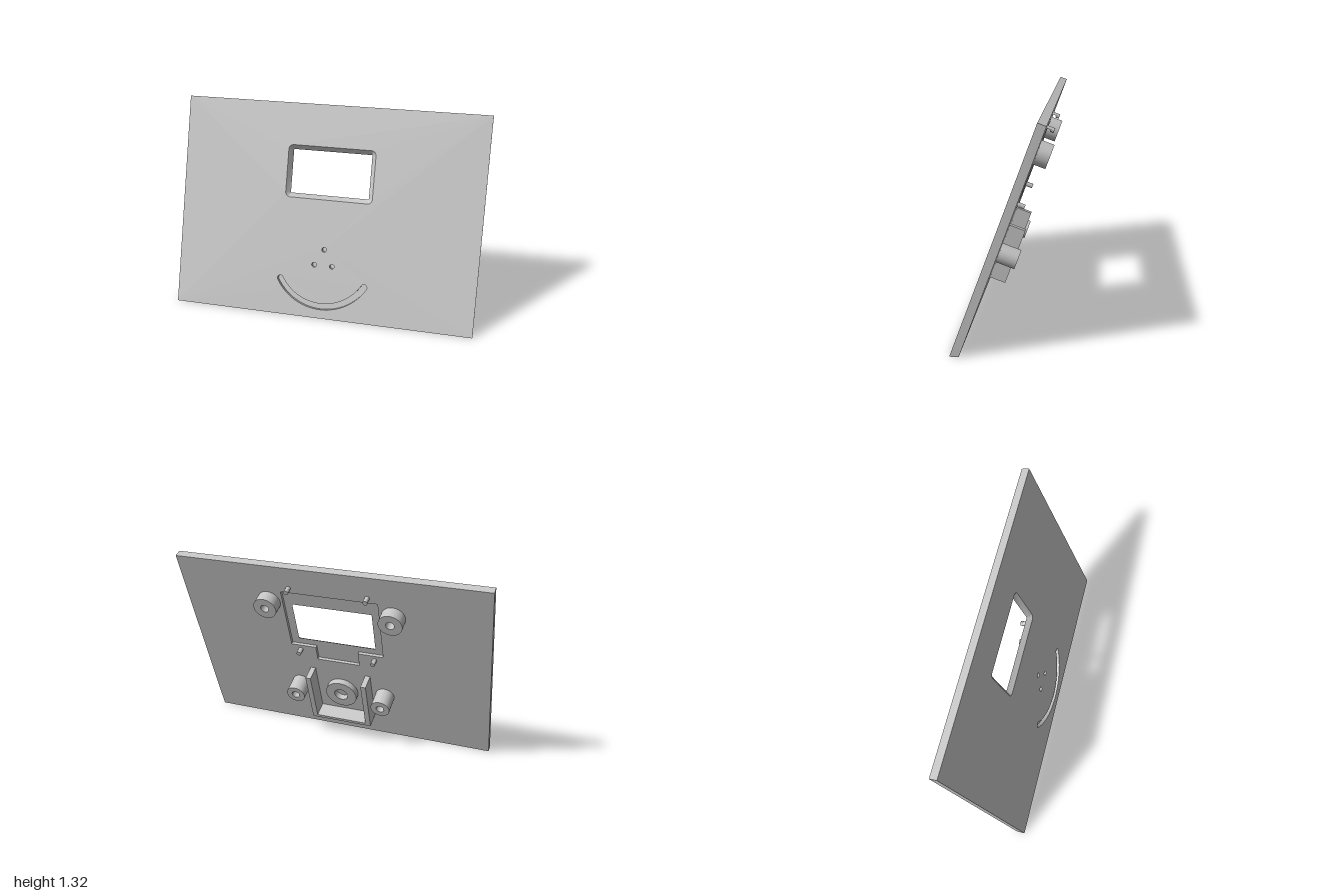
import * as THREE from 'three';
import { toCreasedNormals } from 'three/addons/utils/BufferGeometryUtils.js';

const TILT = THREE.MathUtils.degToRad(20);
const W = 1, H = 1.4015;              // panel half width and length along the slope
const STEP = 0.03, BACK = 0.05;       // depth of the front layer, full thickness

// Closed outline from x, y pairs
function poly(...p) {
  const pts = [];
  for (let i = 0; i < p.length; i += 2) pts.push(new THREE.Vector2(p[i], p[i + 1]));
  return new THREE.Shape(pts);
}

const rect = (x0, y0, x1, y1) => poly(x0, y0, x1, y0, x1, y1, x0, y1);

function disc(x, y, r, a0 = 0, a1 = Math.PI * 2) {
  return new THREE.Shape().absarc(x, y, r, a0, a1, false);
}

// Rectangle with rounded corners, given by its corner centres
function roundRect(cx, cy, hx, hy, r) {
  const s = new THREE.Shape();
  [[1, 1], [-1, 1], [-1, -1], [1, -1]].forEach(([sx, sy], i) =>
    s.absarc(cx + sx * hx, cy + sy * hy, r, i * Math.PI / 2, (i + 1) * Math.PI / 2, false));
  return s;
}

// Curved slot with round ends
function smileSlot(cy, R, w, half) {
  const a0 = -Math.PI / 2 - half, a1 = -Math.PI / 2 + half;
  const s = new THREE.Shape();
  s.absarc(0, cy, R + w, a0, a1, false);
  s.absarc(R * Math.cos(a1), cy + R * Math.sin(a1), w, a1, a1 + Math.PI, false);
  s.absarc(0, cy, R - w, a1, a0, true);
  s.absarc(R * Math.cos(a0), cy + R * Math.sin(a0), w, a0 + Math.PI, a0 + 2 * Math.PI, false);
  return s;
}

// Extrudes a shape between two depths behind the front face
function slab(shape, d0, d1, holes = []) {
  shape.holes.push(...holes);
  const g = new THREE.ExtrudeGeometry(shape, { depth: d1 - d0, bevelEnabled: false, curveSegments: 20 });
  return g.translate(0, 0, -d1);
}

// Moves each vertex by a rule
function bend(g, rule) {
  const p = g.attributes.position, v = new THREE.Vector3();
  for (let i = 0; i < p.count; i++) {
    rule(v.fromBufferAttribute(p, i));
    p.setXYZ(i, v.x, v.y, v.z);
  }
  return g;
}

export function createModel() {
  const group = new THREE.Group();
  group.name = 'tiltedFacePanel';
  const panel = new THREE.Group();
  panel.name = 'panelAssembly';
  panel.rotation.x = -TILT;
  panel.position.z = 0.2665;
  group.add(panel);

  const grey = new THREE.MeshStandardMaterial({ color: 0xc4c4c4 });
  grey.name = 'grey plastic';

  const add = (name, g) => {
    const mesh = new THREE.Mesh(toCreasedNormals(g, 0.5), grey);
    mesh.name = name;
    panel.add(mesh);
  };

  // The foot of the panel is cut level with the ground
  const levelFoot = v => { if (v.y < 0.001) v.y = -v.z * Math.tan(TILT); };

  // Front layer: window, three small holes and the smile groove
  const winY = 0.956, winX = 0.258, winH = 0.14, rIn = 0.004, rOut = 0.032;
  const front = slab(rect(-W, 0, W, H), 0, STEP, [
    roundRect(0, winY, winX, winH, rIn),
    disc(0, 0.458, 0.016), disc(-0.06, 0.353, 0.016), disc(0.06, 0.353, 0.016),
    smileSlot(0.409, 0.33, 0.02, 1.03),
  ]);
  bend(front, v => {
    levelFoot(v);
    // Flare the window towards the front, with rounder corners
    if (Math.abs(v.x) < 0.5 && v.y > 0.7 && v.y < 1.3 && v.z > -0.001) {
      const cx = Math.sign(v.x) * winX, cy = winY + Math.sign(v.y - winY) * winH;
      v.x = cx + (v.x - cx) * rOut / rIn;
      v.y = cy + (v.y - cy) * rOut / rIn;
    }
  });
  add('frontPanel', front);

  // Back layer: recess for the display with a tab below it
  const recess = poly(-0.315, 1.21, -0.315, 0.766, -0.145, 0.766, -0.145, 0.66,
    0.145, 0.66, 0.145, 0.766, 0.315, 0.766, 0.315, 1.21);
  add('backPanel', bend(slab(rect(-W, 0, W, H), STEP, BACK, [recess]), levelFoot));

  // Mirrored posts and pegs
  for (const s of [1, -1]) {
    add('upperPost', slab(disc(s * 0.407, 1.122, 0.076), BACK, 0.127, [disc(s * 0.407, 1.122, 0.027)]));
    add('lowerPost', slab(disc(s * 0.3, 0.405, 0.064), BACK, 0.173, [disc(s * 0.3, 0.405, 0.027)]));
    add('lowerPeg', slab(disc(s * 0.254, 0.73, 0.0155), BACK, 0.096));
    add('hookNeck', slab(disc(s * 0.254, 1.2475, 0.0155, 0, Math.PI), BACK, 0.0735));
    add('hookHead', slab(disc(s * 0.254, 1.2475, 0.0155), 0.0735, 0.097));
  }

  // U-shaped bracket around the sounder ring
  add('bracket', slab(poly(-0.21, 0.186, 0.21, 0.186, 0.21, 0.569, 0.175, 0.569,
    0.175, 0.208, -0.175, 0.208, -0.175, 0.569, -0.21, 0.569), BACK, 0.154));
  add('sounderRing', slab(disc(0, 0.39, 0.108), BACK, 0.092, [disc(0, 0.39, 0.047)]));

  return group;
}
